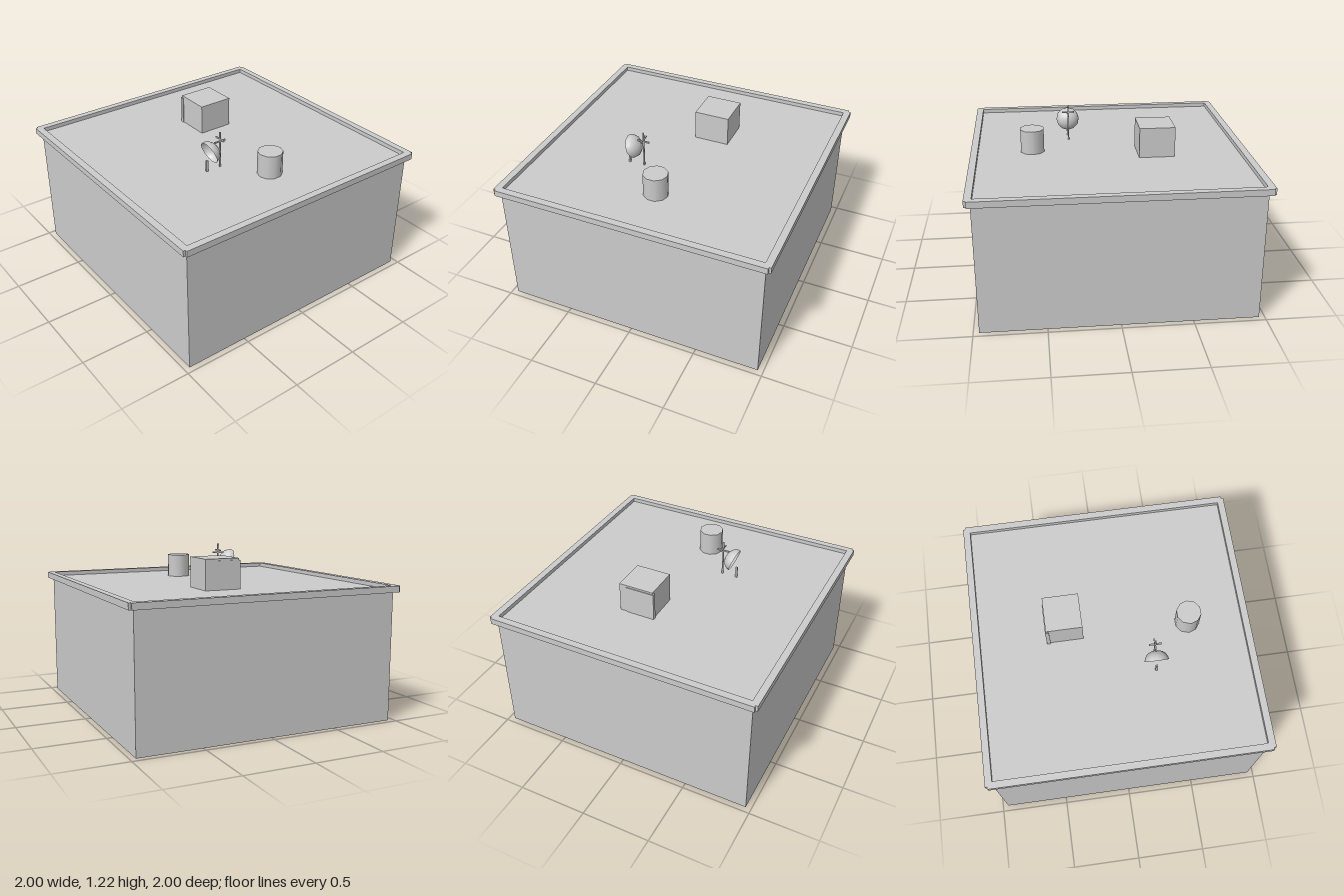
import * as THREE from 'three';

const grey = new THREE.MeshStandardMaterial({ color: 0xcccccc });
const greyOpen = new THREE.MeshStandardMaterial({ color: 0xcccccc, side: THREE.DoubleSide });

function addMesh(parent, name, geometry, x, y, z, material = grey) {
  const mesh = new THREE.Mesh(geometry, material);
  mesh.name = name;
  mesh.position.set(x, y, z);
  parent.add(mesh);
  return mesh;
}

// Box given by its lower and upper corners
function addBox(parent, name, [x0, y0, z0], [x1, y1, z1]) {
  return addMesh(parent, name, new THREE.BoxGeometry(x1 - x0, y1 - y0, z1 - z0),
    (x0 + x1) / 2, (y0 + y1) / 2, (z0 + z1) / 2);
}

// Square frame with a small notch cut from each outer corner
function rimGeometry(outer, notch, inner, height) {
  const n = outer - notch;
  const points = [];
  for (let i = 0; i < 4; i++) {
    const corner = new THREE.Vector2();
    for (const [x, y] of [[outer, n], [n, n], [n, outer]]) {
      points.push(new THREE.Vector2(x, y).rotateAround(corner, i * Math.PI / 2));
    }
  }
  const shape = new THREE.Shape(points);
  shape.holes.push(new THREE.Path([[-1, -1], [-1, 1], [1, 1], [1, -1]]
    .map(([x, y]) => new THREE.Vector2(x * inner, y * inner))));
  return new THREE.ExtrudeGeometry(shape, { depth: height, bevelEnabled: false })
    .rotateX(-Math.PI / 2);
}

export function createModel() {
  const model = new THREE.Group();
  model.name = 'flatRoofBuilding';
  const roofY = 0.945;

  // Walls, with the roof deck as the upper face
  addBox(model, 'walls', [-0.96, 0, -0.96], [0.96, roofY, 0.96]);
  addMesh(model, 'roofRim', rimGeometry(1, 0.016, 0.95, 0.045), 0, 0.93, 0);

  // Rooftop hut with a thin side panel
  const hut = new THREE.Group();
  hut.name = 'rooftopHut';
  addBox(hut, 'hutBody', [-0.466, roofY, -0.257], [-0.208, 1.164, 0.002]);
  addBox(hut, 'hutPanel', [-0.472, roofY, -0.205], [-0.446, 1.15, 0.01]);
  model.add(hut);

  // Water tank
  addMesh(model, 'waterTank', new THREE.CylinderGeometry(0.089, 0.089, 1.117 - roofY, 10),
    0.553, (1.117 + roofY) / 2, -0.027);

  // Dish: shallow open bowl tilted slightly downward, with its short post
  const profile = [];
  for (let i = 0; i <= 5; i++) {
    const a = i / 5 * Math.PI / 2;
    profile.push(new THREE.Vector2(0.086 * Math.sin(a), -0.072 * Math.cos(a)));
  }
  const dish = addMesh(model, 'dish', new THREE.LatheGeometry(profile, 12), 0.275, 1.083, 0.289, greyOpen);
  dish.rotation.x = 1.936;
  addBox(model, 'dishPost', [0.268, roofY, 0.302], [0.282, 1.03, 0.316]);

  // Aerial mast with two crossed bars
  const aerial = new THREE.Group();
  aerial.name = 'aerial';
  addBox(aerial, 'mast', [0.27, roofY, 0.191], [0.28, 1.215, 0.201]);
  addBox(aerial, 'sideBar', [0.23, 1.157, 0.191], [0.32, 1.167, 0.201]);
  addBox(aerial, 'foreBar', [0.27, 1.14, 0.15], [0.28, 1.15, 0.242]);
  model.add(aerial);

  return model;
}
